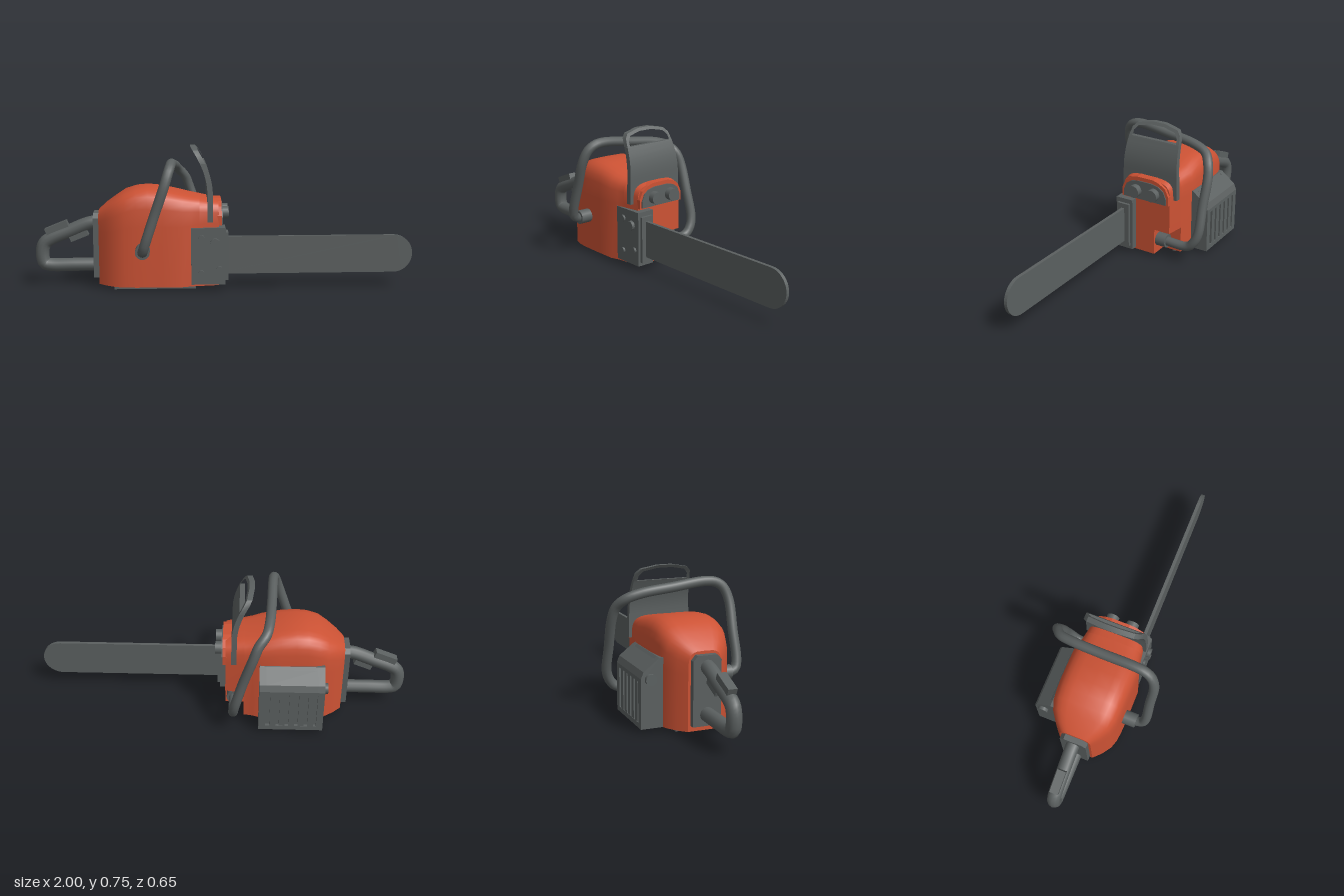
import * as THREE from 'three';
import { toCreasedNormals } from 'three/addons/utils/BufferGeometryUtils.js';

const orange = new THREE.MeshStandardMaterial({ color: 0xcc5234 });
orange.name = 'orange casing';
const grey = new THREE.MeshStandardMaterial({ color: 0x5b6060 });
grey.name = 'dark grey';

const V = (x, y, z) => new THREE.Vector3(x, y, z);

// Extrude a (z, y) outline along x
function extrudeX(points, x0, x1, hole) {
  const toV2 = (list) => list.map(([z, y]) => new THREE.Vector2(-z, y));
  const shape = new THREE.Shape(toV2(points));
  if (hole) shape.holes.push(new THREE.Path(toV2(hole)));
  return new THREE.ExtrudeGeometry(shape, { depth: x1 - x0, bevelEnabled: false })
    .rotateY(Math.PI / 2).translate(x0, 0, 0);
}

// Box given by its limits
function box(x0, x1, y0, y1, z0, z1) {
  return new THREE.BoxGeometry(x1 - x0, y1 - y0, z1 - z0)
    .translate((x0 + x1) / 2, (y0 + y1) / 2, (z0 + z1) / 2);
}

function cylinder(axis, r, length, x, y, z, sides = 20) {
  const g = new THREE.CylinderGeometry(r, r, length, sides);
  if (axis === 'x') g.rotateZ(-Math.PI / 2);
  if (axis === 'z') g.rotateX(Math.PI / 2);
  return g.translate(x, y, z);
}

// Mirror one half of an outline across z = 0
const mirrored = (half) => [...half, ...half.map(([z, y]) => [-z, y]).reverse()];

// Casing section: straight sides, rounded top, optional notch at the lower -z corner
function casingRing([w, h, shoulder], notch) {
  const ring = [[w, 0.02]];
  const n = 14;
  for (let i = 0; i <= n; i++) {
    const a = (i / n) * Math.PI, c = Math.cos(a);
    const s = Math.max(0, Math.sin(a));
    ring.push([w * Math.sign(c) * Math.sqrt(Math.abs(c)), shoulder + (h - shoulder) * Math.sqrt(s)]);
  }
  if (notch) ring.push([-w, 0.17], [-0.05, 0.17], [-0.05, 0.02]);
  else ring.push([-w, 0.02]);
  return ring;
}

// Skin sections [x, w, h, shoulder] and cap both ends
function loft(sections, notch) {
  const rings = sections.map(([, ...s]) => casingRing(s, notch));
  const n = rings[0].length, pos = [], index = [];
  rings.forEach((r, k) => r.forEach(([z, y]) => pos.push(sections[k][0], y, z)));
  for (let k = 0; k < rings.length - 1; k++) {
    for (let i = 0; i < n; i++) {
      const j = (i + 1) % n, a = k * n, b = a + n;
      index.push(a + i, b + i, b + j, a + i, b + j, a + j);
    }
  }
  const last = (rings.length - 1) * n;
  [[0, rings[0]], [last, rings[rings.length - 1]]].forEach(([base, ring]) => {
    const faces = THREE.ShapeUtils.triangulateShape(ring.map((p) => new THREE.Vector2(...p)), []);
    faces.forEach(([a, b, c]) => (base ? index.push(base + a, base + c, base + b) : index.push(a, b, c)));
  });
  const g = new THREE.BufferGeometry();
  g.setAttribute('position', new THREE.Float32BufferAttribute(pos, 3));
  g.setIndex(index);
  return toCreasedNormals(g, 0.6);
}

// Move every vertex by a rule
function warp(g, rule) {
  const p = g.attributes.position, v = V(0, 0, 0);
  for (let i = 0; i < p.count; i++) {
    rule(v.fromBufferAttribute(p, i));
    p.setXYZ(i, v.x, v.y, v.z);
  }
  return toCreasedNormals(g, 0.6);
}

export function createModel() {
  const model = new THREE.Group();
  model.name = 'chainsaw';
  const add = (name, geometry, material = grey) => {
    const mesh = new THREE.Mesh(geometry, material);
    mesh.name = name;
    model.add(mesh);
    return mesh;
  };

  // Casing: main loft and the notched nose
  add('casing', loft([
    [-0.66, 0.085, 0.41, 0.3], [-0.62, 0.125, 0.445, 0.3], [-0.57, 0.16, 0.48, 0.31],
    [-0.52, 0.176, 0.512, 0.33], [-0.46, 0.181, 0.53, 0.34], [-0.4, 0.183, 0.535, 0.34],
    [-0.32, 0.183, 0.527, 0.34], [-0.22, 0.183, 0.503, 0.34], [-0.175, 0.168, 0.492, 0.345],
    [-0.13, 0.16, 0.483, 0.35],
  ], false), orange);
  add('casingNose', loft([[-0.13, 0.16, 0.483, 0.35], [-0.03, 0.145, 0.462, 0.355]], true), orange);

  // Front control panel with two knobs
  add('panelRim', extrudeX(mirrored([[0.145, 0.34], [0.145, 0.39], [0.125, 0.435], [0.085, 0.46], [0.05, 0.47]]), -0.06, -0.014), orange);
  add('controlPanel', extrudeX(mirrored([[0.132, 0.344], [0.132, 0.38], [0.115, 0.42], [0.085, 0.44], [0.045, 0.449]]), -0.03, -0.008));
  for (const z of [0.053, -0.06]) {
    add('knob', cylinder('x', 0.034, 0.045, 0.003, 0.393, z));
  }

  // Chain cover, its raised end plate and bolts
  add('chainCover', box(-0.175, 0.005, 0.03, 0.33, 0.07, 0.172));
  add('chainCoverEnd', box(0.004, 0.02, 0.05, 0.305, 0.085, 0.158));
  for (const [x, y, r, out] of [[-0.05, 0.25, 0.026, 0.189], [-0.12, 0.275, 0.018, 0.183],
    [-0.028, 0.115, 0.015, 0.183], [-0.122, 0.092, 0.015, 0.183]]) {
    add('coverBolt', cylinder('z', r, out - 0.16, x, y, (out + 0.16) / 2, 16));
  }

  // Guide bar with rounded tip
  const bar = new THREE.Shape();
  bar.moveTo(-0.05, 0.078);
  bar.lineTo(0.9, 0.078);
  bar.absarc(0.9, 0.178, 0.1, -Math.PI / 2, Math.PI / 2, false);
  bar.lineTo(-0.05, 0.278);
  add('guideBar', new THREE.ExtrudeGeometry(bar, { depth: 0.018, bevelEnabled: false, curveSegments: 10 })
    .translate(0, 0, 0.113));

  // Hand guard: curved plate below, open frame above
  const bend = (y) => -0.075 - 1.45 * Math.max(0, y - 0.5) ** 2;
  const plate = new THREE.BoxGeometry(0.028, 1, 1, 1, 10, 1);
  add('handGuard', warp(plate, (v) => {
    const t = v.y + 0.5;
    v.y = 0.36 + 0.301 * t;
    v.x += bend(v.y);
    v.z *= 0.34 - 0.03 * t * t;
  }));
  const frame = extrudeX(
    mirrored([[0.155, 0.66], [0.147, 0.705], [0.125, 0.728], [0.04, 0.745]]), -0.014, 0.014,
    mirrored([[0.137, 0.663], [0.134, 0.69], [0.113, 0.715], [0.04, 0.73]]));
  add('handGuardFrame', warp(frame, (v) => { v.x += bend(v.y); }));

  // Wrap-around front handle
  const wrap = new THREE.CatmullRomCurve3([
    V(-0.425, 0.22, 0.2), V(-0.425, 0.22, 0.25), V(-0.42, 0.235, 0.282), V(-0.408, 0.275, 0.295),
    V(-0.36, 0.42, 0.295), V(-0.31, 0.565, 0.295), V(-0.29, 0.63, 0.272), V(-0.28, 0.658, 0.235),
    V(-0.275, 0.666, 0.175), V(-0.267, 0.645, 0), V(-0.255, 0.622, -0.165), V(-0.238, 0.595, -0.24),
    V(-0.2, 0.55, -0.278), V(-0.175, 0.485, -0.293), V(-0.125, 0.335, -0.293), V(-0.085, 0.19, -0.293),
    V(-0.075, 0.135, -0.272), V(-0.075, 0.1, -0.235), V(-0.075, 0.098, -0.08),
  ]);
  add('frontHandle', new THREE.TubeGeometry(wrap, 90, 0.026, 12));
  add('handleMountLeft', cylinder('z', 0.038, 0.07, -0.425, 0.22, 0.215));
  add('handleMountRight', cylinder('z', 0.038, 0.06, -0.075, 0.098, -0.08));

  // Rear handle with back plate and triggers
  add('backPlate', extrudeX(mirrored([[0.072, 0.05], [0.072, 0.37], [0.05, 0.395]]), -0.69, -0.65));
  const grip = new THREE.CatmullRomCurve3([
    V(-0.66, 0.342, 0), V(-0.72, 0.332, 0), V(-0.82, 0.292, 0), V(-0.92, 0.252, 0), V(-0.952, 0.23, 0),
    V(-0.966, 0.195, 0), V(-0.966, 0.145, 0), V(-0.955, 0.117, 0), V(-0.92, 0.108, 0), V(-0.8, 0.108, 0),
    V(-0.66, 0.108, 0),
  ]);
  add('rearHandle', new THREE.TubeGeometry(grip, 50, 0.036, 12));
  const slope = Math.atan2(0.04, 0.1);
  const lock = add('throttleLock', new THREE.BoxGeometry(0.125, 0.05, 0.046));
  lock.position.set(-0.885, 0.305, 0);
  lock.rotation.z = slope;
  const trigger = add('trigger', new THREE.BoxGeometry(0.1, 0.05, 0.04));
  trigger.position.set(-0.775, 0.275, 0);
  trigger.rotation.z = slope;

  // Starter housing with cooling ribs and a rear knob
  const housing = (out) => [[-0.14, 0.02], [-out, 0.02], [-out, 0.27], [-out + 0.014, 0.303], [-0.185, 0.366], [-0.14, 0.366]];
  add('starterHousing', extrudeX(housing(0.264), -0.55, -0.21));
  add('housingEdge', extrudeX(housing(0.28), -0.55, -0.515));
  add('housingEdge', extrudeX(housing(0.28), -0.245, -0.21));
  add('housingTop', extrudeX([[-0.2, 0.25], [-0.28, 0.25], [-0.28, 0.27], [-0.266, 0.303], [-0.2, 0.355]], -0.515, -0.245));
  add('housingBase', box(-0.515, -0.245, 0.02, 0.045, -0.28, -0.2));
  for (let i = 0; i < 5; i++) {
    const x = -0.5 + i * 0.05;
    add('coolingRib', box(x, x + 0.032, 0.04, 0.255, -0.279, -0.25));
  }
  add('rearKnob', cylinder('x', 0.028, 0.025, -0.555, 0.265, -0.232, 16));

  // Base rails and underside plate
  for (const z of [0.12, -0.105]) add('baseRail', box(-0.58, -0.15, 0, 0.03, z - 0.009, z + 0.009));
  add('undersidePlate', box(-0.46, -0.36, 0.015, 0.022, -0.04, 0.04));

  return model;
}
